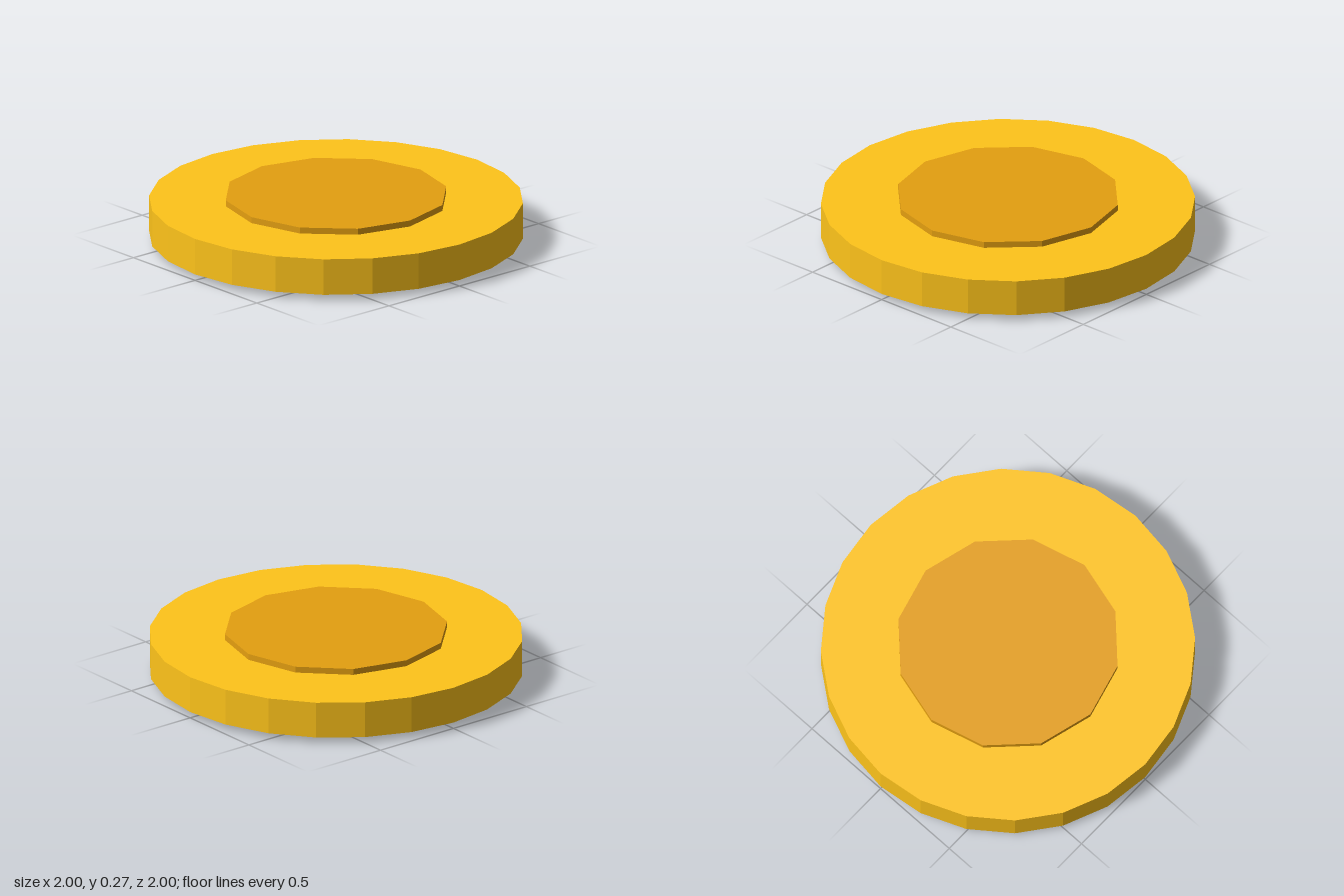
import * as THREE from 'three';

const HEIGHT = 0.267;

// Upright faceted disc, centred at mid-height, with a corner on each axis
function disc(name, radius, height, sides, color) {
  const mesh = new THREE.Mesh(
    new THREE.CylinderGeometry(radius, radius, height, sides),
    new THREE.MeshStandardMaterial({ color, flatShading: true })
  );
  mesh.name = name;
  mesh.position.y = HEIGHT / 2;
  return mesh;
}

export function createModel() {
  const coin = new THREE.Group();
  coin.name = 'coin';

  // Wide outer body
  coin.add(disc('coinBody', 1, 0.2, 24, 0xffc41a));

  // Darker centre, raised on both faces
  coin.add(disc('raisedCentre', 0.6, HEIGHT, 12, 0xe49f10));

  return coin;
}
